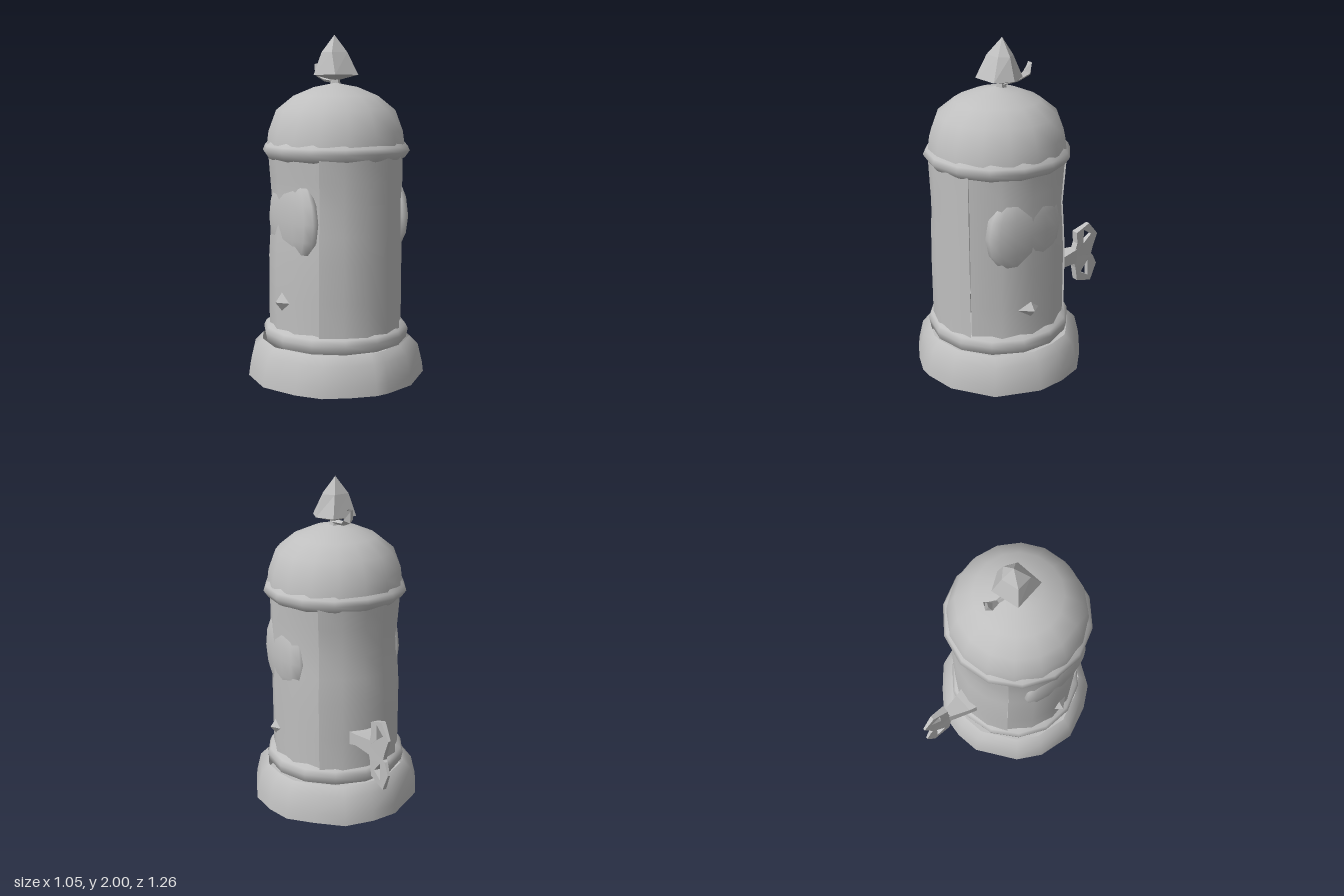
import * as THREE from 'three';

const CZ = 0.12; // depth of the body axis
const metal = new THREE.MeshStandardMaterial({ color: 0xbfbfbf, side: THREE.DoubleSide });
metal.name = 'plain grey';
const facet = new THREE.MeshStandardMaterial({ color: 0xbfbfbf, side: THREE.DoubleSide, flatShading: true });
facet.name = 'plain grey faceted';

function part(parent, name, geometry, material = metal) {
  const m = new THREE.Mesh(geometry, material);
  m.name = name;
  parent.add(m);
  return m;
}

// Skin over closed rings of [x, y, z]; each ring runs from +x towards +z, lowest first
function loft(rings) {
  const n = rings[0].length, index = [];
  for (let r = 0; r < rings.length - 1; r++) {
    for (let i = 0; i < n; i++) {
      const a = r * n + i, b = r * n + (i + 1) % n, c = a + n, d = b + n;
      index.push(a, c, b, b, c, d);
    }
  }
  const g = new THREE.BufferGeometry();
  g.setAttribute('position', new THREE.Float32BufferAttribute(rings.flat(2), 3));
  g.setIndex(index);
  g.computeVertexNormals();
  return g;
}

const lathe = (points, sides, start = 0, sweep = Math.PI * 2) =>
  new THREE.LatheGeometry(points.map(p => new THREE.Vector2(...p)), sides, start, sweep);

export function createModel() {
  const model = new THREE.Group();
  model.name = 'windUpCanister';

  // Uneven base with a flat underside
  const outline = [[0.525, 0.17], [0.43, 0.43], [0.21, 0.595], [0.02, 0.635], [-0.06, 0.635], [-0.2, 0.585],
    [-0.345, 0.51], [-0.44, 0.38], [-0.525, 0.17], [-0.49, -0.07], [-0.4, -0.22], [-0.16, -0.385],
    [0, -0.405], [0.18, -0.385], [0.33, -0.27], [0.46, -0.15], [0.51, 0]];
  const baseRing = (y, s) => outline.map(([x, z]) => [x * s, y, CZ + (z - CZ) * s]);
  part(model, 'base', loft([baseRing(0, 1), baseRing(0.06, 0.985), baseRing(0.17, 0.935), baseRing(0.22, 0.84)]));
  part(model, 'baseUnderside', loft([baseRing(0, 0), baseRing(0, 1)].map(r => r.slice().reverse()).reverse()), facet);

  const drum = new THREE.Group();
  drum.name = 'drum';
  drum.position.z = CZ;
  model.add(drum);

  part(drum, 'lowerCollar', lathe([[0.4, 0.215], [0.425, 0.22], [0.435, 0.27], [0.42, 0.3], [0.385, 0.32]], 14));

  // Body in four curved panels that meet at visible seams, pinched at the upper back and one side
  const seams = [-0.81, 0.58, 2.45, 3.85, -0.81 + Math.PI * 2];
  ['frontPanel', 'leftPanel', 'backPanel', 'rightPanel'].forEach((name, i) => {
    const radius = i % 2 ? 0.395 : 0.405;
    const heights = [0.29, 0.5, 0.72, 0.88, 1.03, 1.18, 1.31];
    const g = lathe(heights.map(y => [radius, y]), 4, seams[i], seams[i + 1] - seams[i]);
    const p = g.attributes.position;
    for (let v = 0; v < p.count; v++) {
      const x = p.getX(v), y = p.getY(v), z = p.getZ(v);
      const pinch = Math.max(0, 1 - Math.abs(y - 1.03) / 0.28) * Math.max(0, -x, -z) / 0.4;
      const s = 1 - 0.06 * pinch;
      p.setXYZ(v, x * s, y, z * s);
    }
    g.computeVertexNormals();
    part(drum, name, g);
  });

  // Rim and dome
  part(drum, 'rim', lathe([[0.385, 1.285], [0.405, 1.295], [0.433, 1.335], [0.42, 1.365], [0.395, 1.39]], 14));
  part(drum, 'dome', lathe([[0.405, 1.375], [0.395, 1.45], [0.35, 1.57], [0.25, 1.65], [0.13, 1.7], [0, 1.725]], 16));

  // Shallow oval and small pointed stud on each side
  for (const side of [1, -1]) {
    const oval = part(drum, side > 0 ? 'leftOval' : 'rightOval', new THREE.SphereGeometry(1, 14, 8));
    oval.scale.set(side > 0 ? 0.09 : 0.075, 0.27, 0.25);
    oval.position.set(side * 0.31, 0.95, 0.03);
    const stud = part(drum, side > 0 ? 'leftStud' : 'rightStud', new THREE.ConeGeometry(0.075, 0.06, 4), facet);
    stud.rotation.z = -side * Math.PI / 2;
    stud.position.set(side * 0.4, 0.48, 0.03);
  }

  // Faceted bud on top, with a thin neck
  const bud = [[[0.135, 0.09], [0.1, 0.205], [-0.07, 0.22], [-0.095, 0.03], [0.07, -0.01]],
    [[0.09, 0.09], [0.06, 0.15], [-0.05, 0.155], [-0.06, 0.06], [0.04, 0.035]]];
  const at = (ring, y) => ring.map(([x, z]) => [x, y, z]);
  const point = (x, y, z) => bud[0].map(() => [x, y, z]);
  part(model, 'bud', loft([point(0.01, 1.735, 0.1), at(bud[0], 1.77), at(bud[1], 1.9), point(0.01, 2, 0.09)]), facet);
  part(model, 'budNeck', new THREE.CylinderGeometry(0.02, 0.035, 0.07, 5), facet).position.set(0.01, 1.74, 0.1);

  // Little curled stem behind the bud
  const stemRing = (y, z, w, h, dz = 0) =>
    [[0.012 + w, y, z], [0.012, y - h, z + dz], [0.012 - w, y, z], [0.012, y + h, z - dz]];
  part(model, 'stem', loft([stemRing(1.735, 0.1, 0.025, 0.015), stemRing(1.745, -0.02, 0.012, 0.014),
    stemRing(1.775, -0.08, 0.03, 0.015, -0.025), stemRing(1.835, -0.1, 0.02, 0.005, -0.01)].reverse()), facet);

  // Wind-up key: tapered shaft and a double-loop handle
  const key = new THREE.Group();
  key.name = 'windUpKey';
  model.add(key);
  const shaftRing = (z, x0, x1, y0, y1) => [[x1, y0, z], [x1, y1, z], [x0, y1, z], [x0, y0, z]];
  part(key, 'keyShaft', loft([shaftRing(-0.25, -0.07, 0.1, 0.47, 0.555), shaftRing(-0.32, -0.05, 0.08, 0.485, 0.555),
    shaftRing(-0.45, 0, 0.055, 0.475, 0.57)].reverse()), facet);
  const loop = (name, outer, hole) => {
    const shape = new THREE.Shape(outer.map(p => new THREE.Vector2(...p)));
    shape.holes.push(new THREE.Path(hole.map(p => new THREE.Vector2(...p))));
    const g = new THREE.ExtrudeGeometry(shape, { depth: 0.05, bevelEnabled: false });
    const p = g.attributes.position;
    for (let i = 0; i < p.count; i++) { // thin the handle towards its tip
      const s = 1 - 0.75 * Math.max(0, p.getX(i) - 0.44) / 0.2;
      p.setZ(i, 0.027 + (p.getZ(i) - 0.025) * s);
    }
    g.rotateY(Math.PI / 2);
    g.computeVertexNormals();
    part(key, name, g, facet);
  };
  loop('upperKeyLoop', [[0.43, 0.53], [0.58, 0.5], [0.595, 0.55], [0.63, 0.635], [0.555, 0.725], [0.45, 0.685], [0.455, 0.61]],
    [[0.51, 0.595], [0.51, 0.69], [0.575, 0.645]]);
  loop('lowerKeyLoop', [[0.43, 0.53], [0.43, 0.485], [0.445, 0.44], [0.46, 0.345], [0.58, 0.31], [0.63, 0.42], [0.595, 0.49], [0.58, 0.5]],
    [[0.49, 0.395], [0.55, 0.465], [0.555, 0.355]]);

  return model;
}
